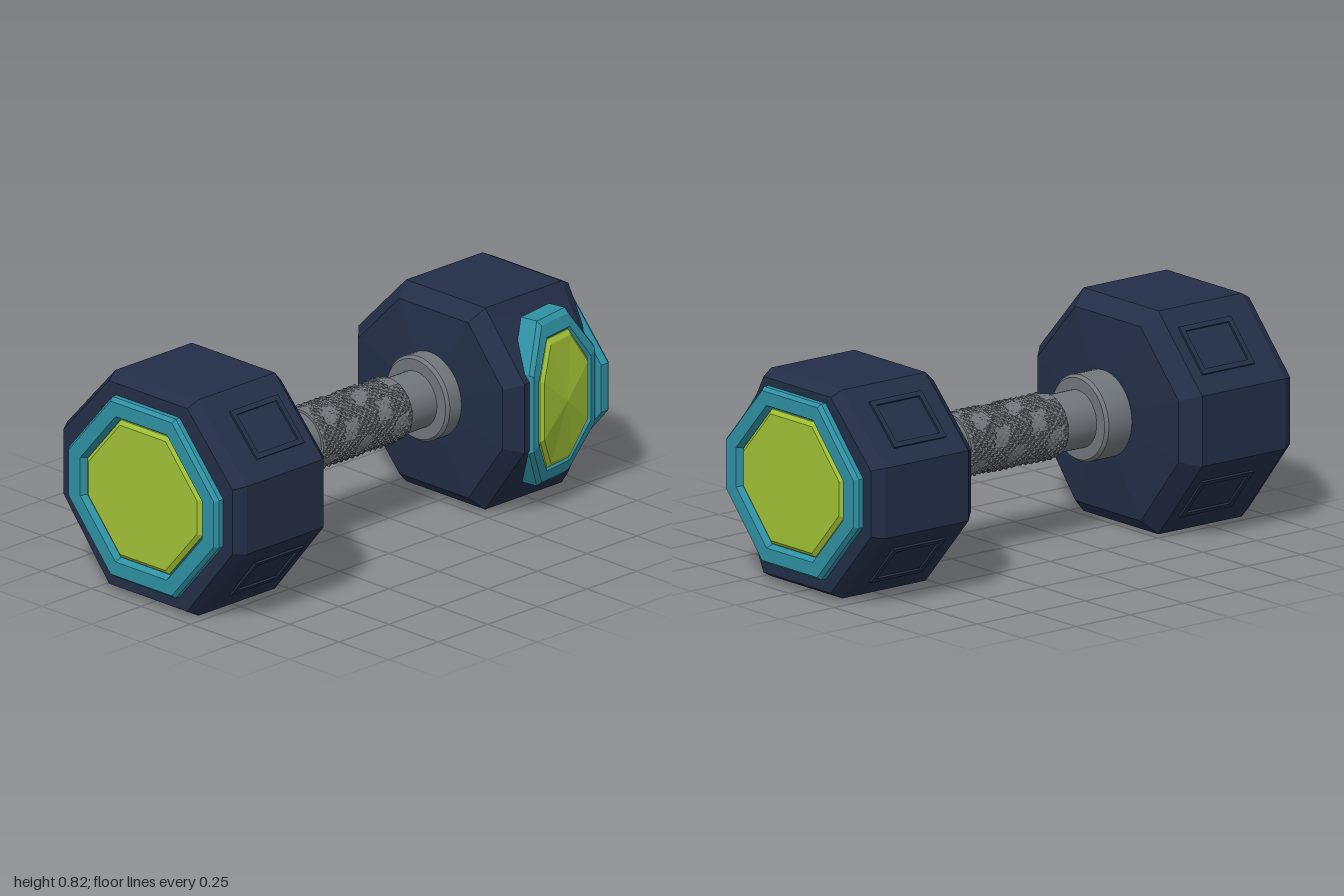
import * as THREE from 'three';
import { toCreasedNormals } from 'three/addons/utils/BufferGeometryUtils.js';

const material = (name, color) => {
  const m = new THREE.MeshStandardMaterial({ color });
  m.name = name;
  return m;
};

// Octagon, counter-clockwise seen from +z
function octagon({ left, right, top, bottom, flat, high, low }) {
  return [[right, low], [right, high], [flat, top], [-flat, top],
    [left, high], [left, low], [-flat, bottom], [flat, bottom]];
}
const evenOctagon = (hw, hh, flat, side) => octagon({
  left: -hw, right: hw, top: hh, bottom: -hh, flat, high: side, low: -side });

// Faceted solid through scaled copies of an outline; steps are [z, scale]
function loft(outline, steps, cy = 0, bend = (p) => p) {
  const rings = steps.map(([z, s]) =>
    outline.map(([x, y]) => bend([x * s, cy + (y - cy) * s, z])));
  const n = outline.length, v = [];
  const first = rings[0], last = rings[rings.length - 1];
  const c0 = bend([0, cy, steps[0][0]]), c1 = bend([0, cy, steps[steps.length - 1][0]]);
  for (let j = 0; j < n; j++) {
    const k = (j + 1) % n;
    for (let i = 0; i < rings.length - 1; i++) {
      const a = rings[i][j], b = rings[i][k], c = rings[i + 1][k], d = rings[i + 1][j];
      v.push(...a, ...b, ...c, ...a, ...c, ...d);
    }
    v.push(...c0, ...first[k], ...first[j], ...c1, ...last[j], ...last[k]);
  }
  const g = new THREE.BufferGeometry();
  g.setAttribute('position', new THREE.Float32BufferAttribute(v, 3));
  g.computeVertexNormals();
  return g;
}

export function createModel() {
  const navy = material('navy rubber', 0x232e47);
  const teal = material('teal trim', 0x2f90a3);
  const lime = material('lime panel', 0xa0c035);
  const steel = material('grey steel', 0x71767b);
  const model = new THREE.Group();
  model.name = 'dumbbell';
  const add = (parent, name, geometry, mat) => {
    const mesh = new THREE.Mesh(geometry, mat);
    mesh.name = name;
    parent.add(mesh);
    return mesh;
  };
  const group = (parent, name) => {
    const g = new THREE.Group();
    g.name = name;
    parent.add(g);
    return g;
  };

  // Octagonal weights
  const frontShape = octagon({ left: -0.455, right: 0.455, top: 0.825, bottom: 0, flat: 0.21, high: 0.56, low: 0.3 });
  const backShape = octagon({ left: -0.44, right: 0.4, top: 0.78, bottom: 0.01, flat: 0.2, high: 0.54, low: 0.28 });
  const steps = [[0.455, 0.4], [0.475, 0.87], [0.535, 1], [0.92, 1], [0.965, 0.94]];
  add(model, 'frontWeight', loft(frontShape, steps, 0.41), navy);
  // the back weight narrows towards its end on the side with the panel
  const taper = ([x, y, z]) => [x > 0.3 ? x - 0.16 * Math.max(0, -z - 0.53) : x, y, z];
  const backSteps = steps.map(([z, s]) => [-z, s]).reverse();
  add(model, 'backWeight', loft(backShape, backSteps, 0.41, taper), navy);

  // Raised rectangular borders on the sloping faces
  function border(shape, i, z) {
    const [ax, ay] = shape[i], [bx, by] = shape[(i + 1) % 8];
    const g = group(model, 'slopeBorder');
    g.position.set((ax + bx) / 2, (ay + by) / 2, z);
    g.rotation.z = Math.atan2(by - ay, bx - ax) + Math.PI;
    for (const s of [-1, 1]) {
      add(g, 'borderSide', new THREE.BoxGeometry(0.02, 0.016, 0.24), navy).position.x = s * 0.09;
      add(g, 'borderEnd', new THREE.BoxGeometry(0.16, 0.016, 0.02), navy).position.z = s * 0.11;
    }
  }
  for (const i of [1, 3, 5, 7]) border(frontShape, i, 0.7);
  for (const i of [3, 5]) border(backShape, i, -0.72);

  // Teal frames with lime panels on both ends
  function endPanel(name, hw, hh, y, turn) {
    const g = group(model, name);
    g.position.y = y;
    g.rotation.y = turn;
    const outline = evenOctagon(hw, hh, 0.16, 0.09);
    add(g, 'endFrame', loft(outline,
      [[0.95, 1], [0.985, 1], [1, 0.965], [1, 0.81], [0.975, 0.775]]), teal);
    add(g, 'endInset', loft(outline, [[0.96, 0.77], [0.98, 0.765], [0.992, 0.72]]), lime);
  }
  endPanel('frontPanel', 0.38, 0.3425, 0.4125, 0);
  endPanel('backPanel', 0.37, 0.325, 0.405, Math.PI);

  // Bowed panel on the left side of the back weight
  const side = group(model, 'sidePanel');
  side.position.set(0.385, 0.415, -0.76);
  side.rotation.y = Math.PI / 2 + 0.16;
  const bow = ([x, y, z]) => [x, y, z - 0.6 * y * y];
  add(side, 'sideFrame', loft(evenOctagon(0.195, 0.315, 0.085, 0.15),
    [[-0.08, 1], [-0.01, 1], [0.003, 0.95], [0.003, 0.81], [-0.014, 0.76]], 0, bow), teal);
  add(side, 'sideInset', loft(evenOctagon(0.143, 0.245, 0.064, 0.117),
    [[-0.03, 1], [-0.004, 1], [0.006, 0.93]], 0, bow), lime);

  // Handle bar and collars
  const handle = group(model, 'handle');
  handle.position.y = 0.418;
  handle.rotation.x = Math.PI / 2;
  add(handle, 'bar', new THREE.CylinderGeometry(0.106, 0.106, 0.94, 40, 1, true), steel);
  const collar = [[0.1, 0], [0.15, 0], [0.16, 0.012], [0.16, 0.118], [0.15, 0.13], [0.1, 0.13]]
    .map(([x, y]) => new THREE.Vector2(x, y));
  const collarShape = toCreasedNormals(new THREE.LatheGeometry(collar, 40), 0.5);
  add(handle, 'frontCollar', collarShape, steel).position.y = 0.335;
  add(handle, 'backCollar', collarShape, steel).position.y = -0.515 + 0.0;

  // Worn diamond knurling on the grip
  const knurl = new THREE.CylinderGeometry(0.12, 0.12, 0.45, 128, 72);
  const p = knurl.attributes.position;
  for (let i = 0; i < p.count; i++) {
    const x = p.getX(i), y = p.getY(i), z = p.getZ(i);
    if (Math.hypot(x, z) < 0.05) continue;
    const a = Math.atan2(z, x);
    const diamond = Math.abs(Math.sin(a * 14 + y * 110) * Math.sin(a * 14 - y * 110));
    const worn = Math.sin(a * 3 + y * 31) + Math.sin(a * 5 - y * 43) > 0.5 ? 0.3 : 1;
    const edge = Math.abs(y) > 0.22 ? 0 : 1;
    const r = 0.116 + 0.009 * diamond * worn * edge;
    p.setXYZ(i, Math.cos(a) * r, y, Math.sin(a) * r);
  }
  const grip = knurl.toNonIndexed();
  grip.computeVertexNormals();
  add(handle, 'knurledGrip', grip, steel).position.y = -0.028;
  return model;
}
